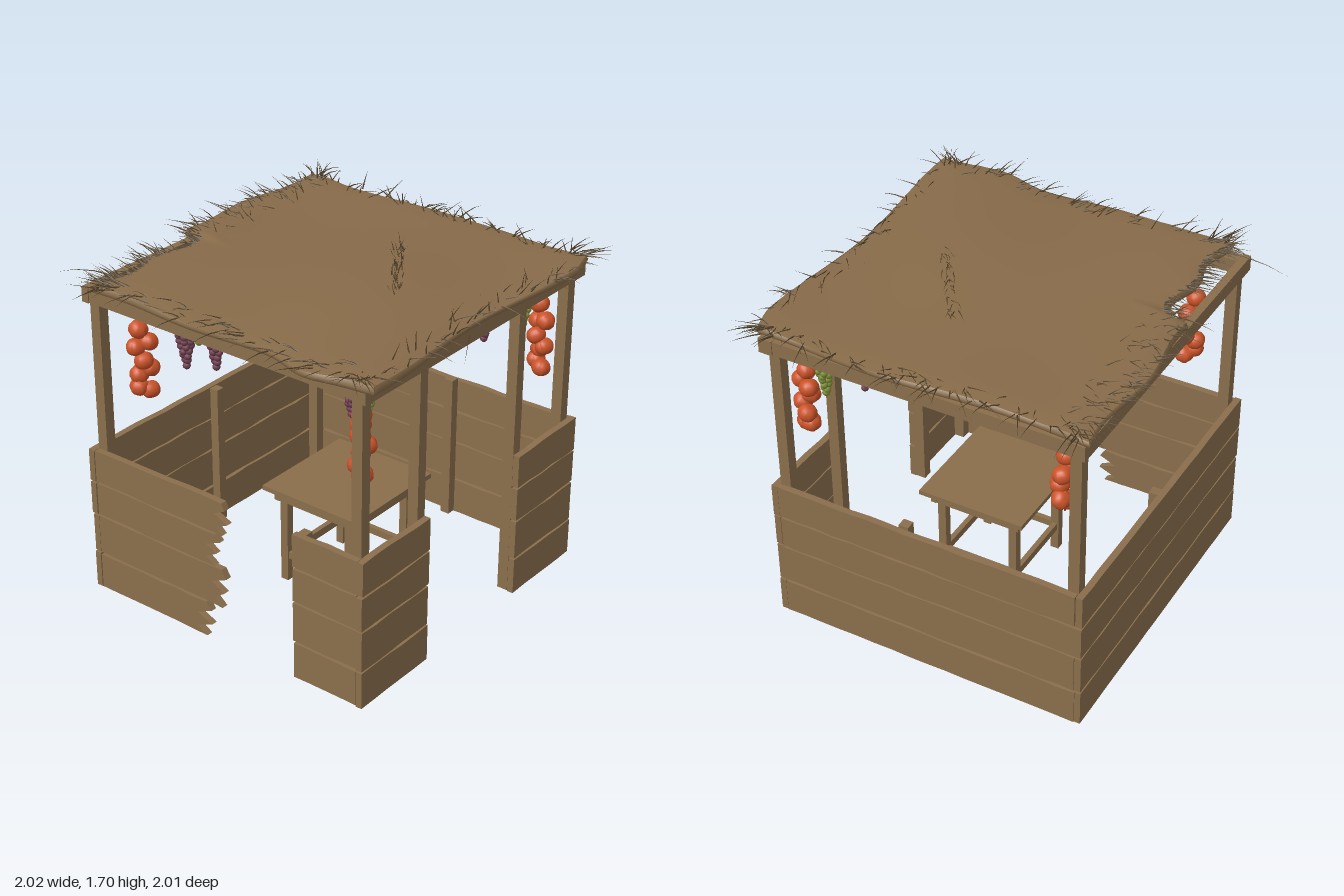
import * as THREE from 'three';
import { mergeGeometries } from 'three/addons/utils/BufferGeometryUtils.js';

export function createModel() {
  const root = new THREE.Group();
  root.name = 'marketStall';
  const mat = (name, color) => {
    const m = new THREE.MeshStandardMaterial({ color });
    m.name = name;
    return m;
  };
  const wood = mat('wood', 0x8a6e4c), thatch = mat('thatch', 0x876b49), straw = mat('straw', 0x5c4a30);
  const orange = mat('orange', 0xcb5329), green = mat('green', 0x7a8c35);
  const purple = mat('purple', 0x703f50), cord = mat('cord', 0x7c3f24);

  let seed = 11;
  const rnd = () => (seed = (seed * 16807) % 2147483647) / 2147483647;
  const spread = (a) => (rnd() * 2 - 1) * a;

  const add = (name, geo, material, x = 0, y = 0, z = 0, parent = root) => {
    const m = new THREE.Mesh(geo, material);
    m.name = name;
    m.position.set(x, y, z);
    parent.add(m);
    return m;
  };
  // box given by its limits
  const box = (name, x0, x1, y0, y1, z0, z1, parent = root) =>
    add(name, new THREE.BoxGeometry(x1 - x0, y1 - y0, z1 - z0), wood,
      (x0 + x1) / 2, (y0 + y1) / 2, (z0 + z1) / 2, parent);

  // ---- plank walls: wavy edged boards, optionally with a splintered end
  const rows = [[0, 0.185], [0.197, 0.398], [0.408, 0.576], [0.586, 0.755]];
  function plankWall(name, u0, u1, place, brokenEnds) {
    const g = new THREE.Group();
    g.name = name;
    rows.forEach(([y0, y1], r) => {
      const s = new THREE.Shape(), n = Math.max(4, Math.round((u1 - u0) / 0.1));
      const end = brokenEnds ? brokenEnds[r] : u1 + spread(0.004);
      const start = u0 + spread(0.004);
      const at = (i) => start + (end - start) * i / n;
      s.moveTo(start, y0);
      for (let i = 1; i <= n; i++) s.lineTo(at(i), y0 + (r ? spread(0.004) : rnd() * 0.004));
      if (brokenEnds) for (let k = 1; k < 5; k++)
        s.lineTo(end + (k % 2 ? -0.05 : 0.02) + spread(0.015), y0 + (y1 - y0) * k / 5);
      for (let i = n; i >= 0; i--) s.lineTo(at(i), y1 + spread(0.004));
      add('board', new THREE.ExtrudeGeometry(s, { depth: 0.033, bevelEnabled: false }), wood, 0, 0, 0, g);
    });
    place(g);
    root.add(g);
  }
  const acrossAt = (z) => (g) => { g.position.z = z; };
  const alongAt = (x) => (g) => { g.position.x = x; g.rotation.y = -Math.PI / 2; };
  plankWall('backWall', -0.85, 0.82, acrossAt(-0.78));
  plankWall('frontPanelRight', -0.85, -0.365, acrossAt(0.807));
  plankWall('frontPanelLeft', 0.335, 0.82, acrossAt(0.807));
  plankWall('leftWall', -0.746, 0.806, alongAt(0.82));
  plankWall('rightWallBroken', -0.746, 0, alongAt(-0.815), [-0.07, 0.03, -0.01, 0.04]);
  plankWall('rightPanel', 0.45, 0.806, alongAt(-0.815));

  // ---- posts
  for (const x of [-0.817, 0.735]) {
    box('frontCornerPost', x, x + 0.055, 0.005, 1.53, 0.752, 0.807);
    box('backCornerPost', x, x + 0.055, 0.005, 1.53, -0.748, -0.693);
  }
  for (const x of [-0.415, 0.335]) box('doorPost', x, x + 0.053, 0.005, 1.53, 0.752, 0.807);
  box('backWallPost', -0.037, 0.01, 0.005, 0.75, -0.748, -0.7);
  box('leftWallPost', 0.74, 0.788, 0.005, 0.77, 0.12, 0.17);
  box('rightPanelPost', -0.816, -0.77, 0.005, 0.75, 0.455, 0.5);

  // ---- roof frame
  box('frontBeam', -0.84, 0.82, 1.51, 1.585, 0.77, 0.84);
  box('backBeam', -0.84, 0.82, 1.51, 1.585, -0.775, -0.735);
  box('leftBeam', 0.75, 0.815, 1.513, 1.583, -0.736, 0.771);
  box('rightBeam', -0.835, -0.77, 1.513, 1.583, -0.736, 0.771);
  for (const z of [-0.4, 0, 0.4]) box('rafter', -0.771, 0.751, 1.53, 1.585, z - 0.025, z + 0.025);

  // ---- thatched roof: a slab with an irregular outline, missing its back right strip
  const leftX = (z) => -0.87 - 0.05 * Math.exp(-(((z - 0.48) / 0.16) ** 2)) + 0.012 * Math.sin(z * 7);
  const rightX = (z) => 0.815 + 0.015 * Math.sin(z * 5 + 0.5);
  const backZ = (x) => (x < -0.16 ? -0.665 + 0.02 * Math.sin(x * 17) : -0.8 + 0.02 * Math.sin(x * 9 + 2));
  const frontZ = (x) => 0.885 + 0.025 * Math.sin(x * 4.5 - 1.2) - 0.05 * Math.max(0, x - 0.65) / 0.2;
  const topY = (x, z) => 1.63 + 0.012 * Math.sin(x * 4 + 2.6) * Math.cos(z * 2) + 0.008 * Math.sin(z * 5 + x * 3)
    + (x > -0.16 ? 0.012 * Math.exp(-(((z + 0.68) / 0.1) ** 2)) : 0);
  const roof = new THREE.BoxGeometry(2, 2, 2, 44, 2, 44);
  const rp = roof.attributes.position;
  for (let i = 0; i < rp.count; i++) {
    const a = rp.getX(i), h = rp.getY(i), b = rp.getZ(i);
    const bulge = h === 0 ? 1 : 0.985;
    const x = THREE.MathUtils.lerp(leftX(b * 0.85), rightX(b * 0.85), a * bulge / 2 + 0.5);
    const z = THREE.MathUtils.lerp(backZ(x), frontZ(x), b * bulge / 2 + 0.5);
    const rim = Math.max(Math.abs(a), Math.abs(b)) ** 14 * 0.012;
    rp.setXYZ(i, x, h > 0 ? topY(x, z) - rim : h < 0 ? 1.584 : 1.604, z);
  }
  roof.computeVertexNormals();
  add('thatchRoof', roof, thatch);

  // ---- loose straw: bent thin blades
  const blades = [];
  function blade(x, y, z, angle, len, rise, droop, r = 0.0045) {
    const g = new THREE.ConeGeometry(r, 1, 3, 3);
    const p = g.attributes.position, dx = Math.cos(angle), dz = Math.sin(angle);
    for (let i = 0; i < p.count; i++) {
      const t = p.getY(i) + 0.5, side = p.getX(i), up = p.getZ(i);
      p.setXYZ(i, x + dx * len * t - dz * side, y + up + rise * t - droop * t * t, z + dz * len * t + dx * side);
    }
    g.computeVertexNormals();
    blades.push(g);
  }
  const tuft = (x, z, angle, len) =>
    blade(x, topY(x, z) - 0.012, z, angle, len, rnd() * 0.07, rnd() * 0.06);
  for (let i = 0; i < 85; i++) {
    const z = -0.68 + 1.5 * rnd(), x = -0.78 + 1.55 * rnd();
    tuft(rightX(z) - 0.01 - rnd() * 0.09, z, -0.4 + spread(0.9), 0.06 + rnd() * 0.1);
    tuft(leftX(z) + 0.02 + rnd() * 0.12, z, Math.PI + 0.9 + spread(0.9), 0.06 + rnd() * 0.11);
    tuft(x, frontZ(x) - 0.01 - rnd() * 0.09, (rnd() < 0.3 ? 1.2 : -0.4) + spread(0.5), 0.06 + rnd() * 0.09);
  }
  // back edge, the strip over the bare beam, and the tuft lying on the roof
  for (let i = 0; i < 150; i++) {
    const x = -0.18 + 0.98 * rnd();
    tuft(x, -0.78 + rnd() * 0.22, -Math.PI / 2 + spread(0.8), 0.06 + rnd() * 0.1);
  }
  for (let i = 0; i < 75; i++) {
    const x = -0.84 + 0.7 * rnd();
    tuft(x, backZ(x) + 0.03, -Math.PI / 2 + spread(0.25), 0.06 + rnd() * 0.13);
  }
  for (let i = 0; i < 60; i++) {
    const t = rnd();
    tuft(-0.15 + 0.45 * t, 0.46 - 0.3 * t + spread(0.03), -0.6 + spread(0.35), 0.07 + rnd() * 0.08);
  }
  // corner sprays and the longest stalks
  for (const [x, z, a] of [[-0.82, 0.8, 2.4], [0.78, 0.8, 0.5], [0.78, -0.72, -0.7], [-0.82, -0.6, 3.7]])
    for (let i = 0; i < 14; i++) tuft(x + spread(0.05), z + spread(0.05), a + spread(0.7), 0.1 + rnd() * 0.07);
  blade(-0.74, 1.63, -0.66, -1.68, 0.34, 0.03, 0.09);
  blade(-0.8, 1.62, 0.85, 1.4, 0.15, 0.05, 0.03);
  blade(0.1, 1.62, 0.86, 1.5, 0.13, 0, 0.03);
  blade(0.8, 1.62, -0.45, -0.5, 0.18, 0.06, 0.03);
  blade(-0.17, 1.585, 0.88, 3.6, 0.02, -0.14, 0);
  add('looseStraw', mergeGeometries(blades), straw);

  // ---- table
  const table = new THREE.Group();
  table.name = 'table';
  root.add(table);
  box('tableTop', -0.31, 0.28, 0.502, 0.526, -0.18, 0.38, table);
  for (const z of [-0.14, 0.31]) box('apron', -0.27, 0.24, 0.445, 0.502, z, z + 0.03, table);
  for (const x of [-0.268, 0.208]) box('sideApron', x, x + 0.03, 0.447, 0.502, -0.12, 0.32, table);
  for (const x of [-0.25, 0.18]) {
    for (const z of [-0.12, 0.27]) box('tableLeg', x, x + 0.042, 0, 0.47, z, z + 0.042, table);
    box('sideStretcher', x + 0.008, x + 0.034, 0.122, 0.158, -0.08, 0.28, table);
  }
  for (const z of [-0.112, 0.278]) box('stretcher', -0.21, 0.182, 0.12, 0.16, z, z + 0.026, table);

  const hangCord = (g, y0) =>
    add('cord', new THREE.CylinderGeometry(0.004, 0.004, 1.56 - y0, 5), cord, 0, (1.56 + y0) / 2, 0, g);
  const hanging = (name, x, z) => {
    const g = new THREE.Group();
    g.name = name;
    g.position.set(x, 0, z);
    root.add(g);
    return g;
  };

  // ---- strings of ribbed round gourds
  const gourd = new THREE.SphereGeometry(0.047, 20, 12);
  const gp = gourd.attributes.position;
  for (let i = 0; i < gp.count; i++) {
    const x = gp.getX(i), y = gp.getY(i), z = gp.getZ(i);
    const k = 1 - 0.09 * Math.abs(Math.cos(3 * Math.atan2(z, x))) ** 4;
    gp.setXYZ(i, x * k, y * (0.82 + 0.1 * Math.min(1, Math.hypot(x, z) / 0.03)), z * k);
  }
  gourd.computeVertexNormals();
  const gourdSpots = [[-0.01, 1.375, 0.01], [0.025, 1.305, -0.02], [-0.025, 1.285, 0.015], [0.015, 1.225, 0.02],
    [0.03, 1.175, -0.02], [-0.02, 1.14, 0], [-0.015, 1.085, 0.015], [0.03, 1.065, -0.01]];
  for (const [x, z, dy, turn] of [[-0.7, 0.71, 0, 0], [0.67, 0.71, 0, 2.6], [0.69, -0.62, 0.03, 0.6], [-0.68, -0.57, 0, 1.2]]) {
    const g = hanging('gourdString', x, z);
    hangCord(g, 1.1);
    for (const [a, y, b] of dy ? gourdSpots.slice(0, 6) : gourdSpots) {
      const m = add('gourd', gourd, orange, a * Math.cos(turn) - b * Math.sin(turn), y + dy * 0.5,
        a * Math.sin(turn) + b * Math.cos(turn), g);
      m.rotation.set(spread(0.5), rnd() * 6, spread(0.5));
    }
  }

  // ---- grape bunches: rings of berries narrowing downward, with a ragged crown
  const berry = new THREE.SphereGeometry(0.019, 8, 6);
  function grapes(x, z, top, material) {
    const g = hanging('grapeBunch', x, z), parts = [];
    hangCord(g, top - 0.03);
    for (let k = 0; k < 8; k++) {
      const r = 0.04 * (1 - k / 7.5), n = Math.max(1, Math.round(r * 190));
      for (let j = 0; j < n; j++) {
        const a = (j / n) * Math.PI * 2 + k * 0.8;
        parts.push(berry.clone().translate(r * Math.cos(a), top - 0.035 - k * 0.026 + spread(0.004), r * Math.sin(a)));
      }
    }
    for (let j = 0; j < 8; j++)
      parts.push(new THREE.ConeGeometry(0.01, 0.035, 5).rotateZ(-1.1).translate(0.04, top - 0.008, 0).rotateY(j * Math.PI / 4));
    add('berries', mergeGeometries(parts), material, 0, 0, 0, g);
  }
  for (const [x, z, top] of [[-0.47, 0.53, 1.44], [0.63, 0.63, 1.46], [0.25, -0.46, 1.48], [-0.45, -0.43, 1.48]])
    grapes(x, z, top, green);
  grapes(-0.57, 0.63, 1.46, green);
  for (const [x, z, top] of [[-0.6, 0.62, 1.44], [-0.52, 0.52, 1.45], [0.48, 0.52, 1.43], [0.42, -0.39, 1.42],
    [-0.5, -0.28, 1.42], [-0.59, -0.38, 1.43]])
    grapes(x, z, top, purple);

  return root;
}
